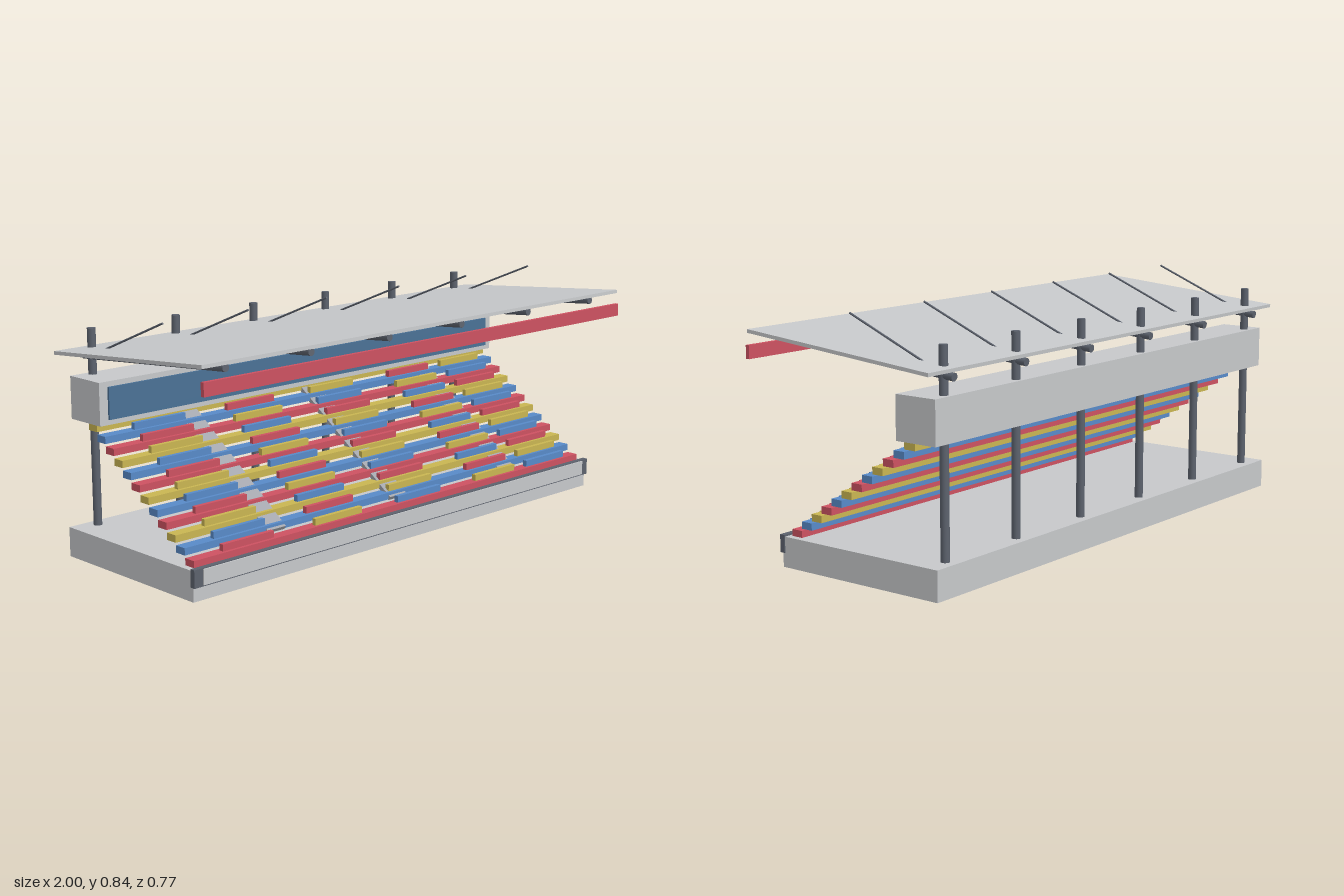
import * as THREE from 'three';

const mat = (name, color) => new THREE.MeshStandardMaterial({ name, color });

export function createModel() {
  const root = new THREE.Group();
  root.name = 'grandstand';
  const concrete = mat('light concrete', 0xc6c8ca);
  const steel = mat('dark steel', 0x5c626d);
  const stepGrey = mat('step grey', 0xa0a3aa);
  const glass = mat('window blue', 0x4a7196);
  const seatMats = [mat('seat red', 0xcd5261), mat('seat blue', 0x588ac8), mat('seat yellow', 0xc9b552)];

  const group = (name) => {
    const g = new THREE.Group();
    g.name = name;
    root.add(g);
    return g;
  };
  // Box given by its limits on each axis
  const box = (name, x0, x1, y0, y1, z0, z1, material, parent = root) => {
    const m = new THREE.Mesh(new THREE.BoxGeometry(x1 - x0, y1 - y0, z1 - z0), material);
    m.name = name;
    m.position.set((x0 + x1) / 2, (y0 + y1) / 2, (z0 + z1) / 2);
    parent.add(m);
    return m;
  };
  // Round bar between two points in a plane of constant x
  const bar = (name, x, [z0, y0], [z1, y1], r, parent) => {
    const a = new THREE.Vector3(x, y0, z0), b = new THREE.Vector3(x, y1, z1);
    const d = b.clone().sub(a);
    const m = new THREE.Mesh(new THREE.CylinderGeometry(r, r, d.length(), 16), steel);
    m.name = name;
    m.position.copy(a).add(b).multiplyScalar(0.5);
    m.quaternion.setFromUnitVectors(new THREE.Vector3(0, 1, 0), d.normalize());
    parent.add(m);
  };
  // Sloped slab whose centre line runs between two (z, y) points
  const slab = (name, x, width, [z0, y0], [z1, y1], t, material, parent = root) => {
    const dz = z1 - z0, dy = y1 - y0;
    const m = new THREE.Mesh(new THREE.BoxGeometry(width, t, Math.hypot(dz, dy)), material);
    m.name = name;
    m.position.set(x, (y0 + y1) / 2, (z0 + z1) / 2);
    m.rotation.x = -Math.atan2(dy, dz);
    parent.add(m);
  };

  // Base and front barrier
  box('base', -0.967, 0.967, 0, 0.102, -0.38, 0.274, concrete);
  box('barrierFrame', -0.97, 0.97, 0.048, 0.108, 0.265, 0.284, steel);
  box('barrierPanel', -0.936, 0.936, 0.053, 0.105, 0.282, 0.289, concrete);

  // Seating rows: a full-width bench with five blocks of backs in shifted colours
  const rows = group('seatingRows');
  const blocks = [[-0.71, 0], [-0.31, 2], [0.08, 1], [0.483, 2], [0.768, 1]];
  for (let i = 0; i < 12; i++) {
    const z = 0.231 - i * 0.0443, y = 0.113 + i * 0.0318;
    box('bench', -0.945, 0.945, y - 0.012, y + 0.012, z - 0.0215, z + 0.0215, seatMats[i % 3], rows);
    if (i === 11) continue;
    for (const [x, shift] of blocks) {
      box('seatBack', x - 0.108, x + 0.108, y + 0.012, y + 0.035, z - 0.006, z + 0.01,
        seatMats[(i + shift) % 3], rows);
    }
  }

  // Sloped aisles carrying the rows
  const aisles = group('aisles');
  for (const x of [-0.567, 0, 0.567]) {
    slab('aisle', x, 0.08, [0.211, 0.136], [-0.24, 0.456], 0.015, stepGrey, aisles);
  }

  // Enclosed box at the back of the stand
  box('cabin', -0.951, 0.951, 0.475, 0.62, -0.365, -0.207, concrete);
  box('cabinWindow', -0.918, 0.918, 0.493, 0.602, -0.208, -0.199, glass);

  // Roof and its fascia
  slab('roof', 0, 2, [0.3775, 0.7655], [-0.381, 0.701], 0.012, concrete);
  box('fascia', -1, 1, 0.675, 0.72, 0.371, 0.385, seatMats[0]);

  // Steel frame: posts, rafters and tie rods
  const frame = group('steelFrame');
  for (let i = 0; i < 6; i++) {
    const x = -0.88 + i * 0.352;
    bar('post', x, [-0.338, 0.1], [-0.338, 0.775], 0.0145, frame);
    bar('rafter', x, [0.344, 0.742], [-0.381, 0.679], 0.0135, frame);
    bar('tieRod', x, [0.042, 0.838], [-0.338, 0.682], 0.0035, frame);
  }
  return root;
}
